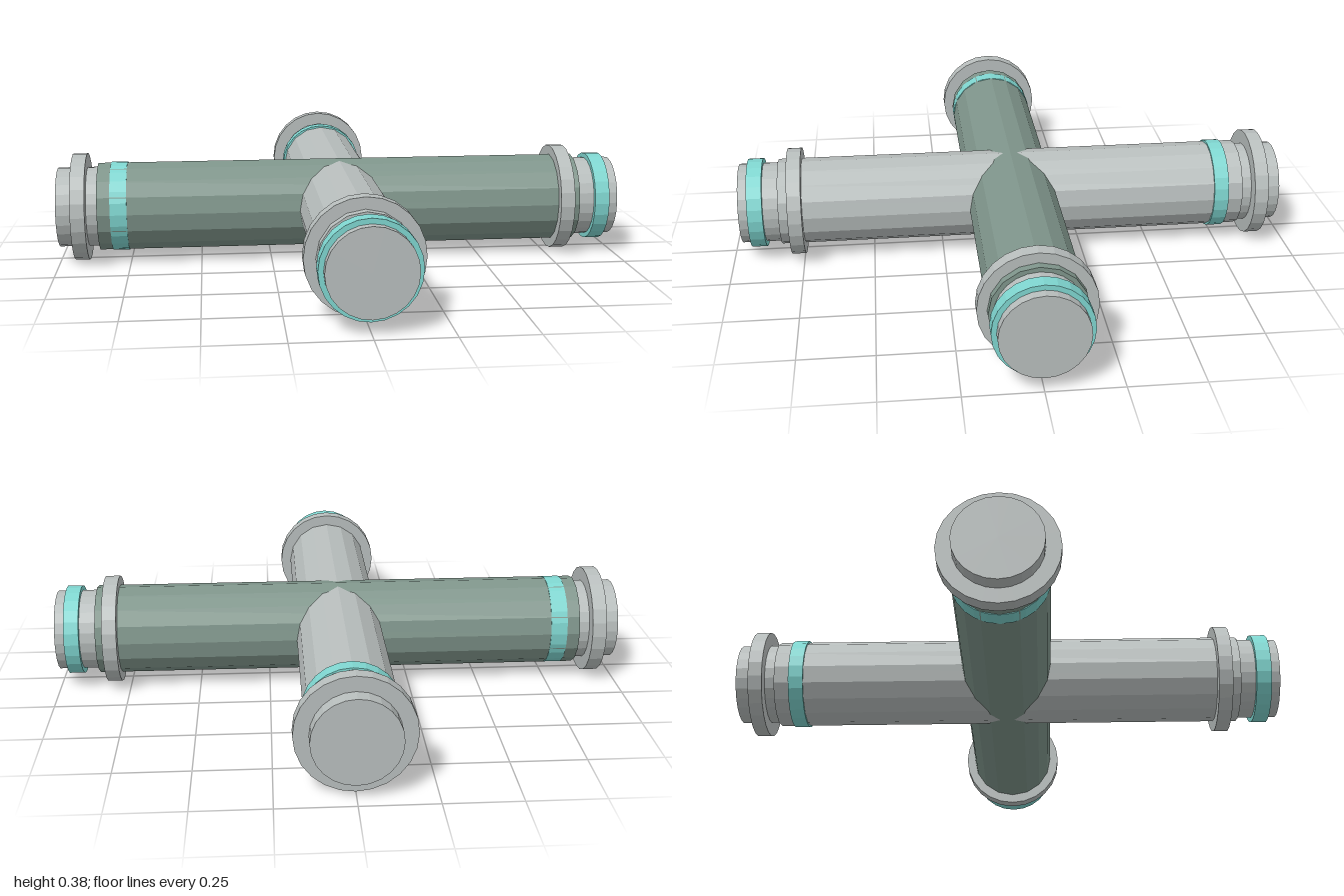
import * as THREE from 'three';

const mat = (name, color) => {
  const m = new THREE.MeshStandardMaterial({ color, flatShading: true });
  m.name = name;
  return m;
};

export function createModel() {
  const grey = mat('light grey metal', 0xb8bebd);
  const green = mat('grey green paint', 0x7f958b);
  const cyan = mat('cyan band', 0x7fd6d0);

  const model = new THREE.Group();
  model.name = 'crossPipe';

  // closed cylinder running along the arm from a to b
  const ring = (arm, name, a, b, radius, sides, material) => {
    const geo = new THREE.CylinderGeometry(radius, radius, b - a, sides);
    geo.rotateZ(-Math.PI / 2);
    geo.translate((a + b) / 2, 0, 0);
    const mesh = new THREE.Mesh(geo, material);
    mesh.name = name;
    arm.add(mesh);
  };

  // one straight pipe: body, thinner core showing at both ends, flanges and bands
  const pipe = (name, p) => {
    const arm = new THREE.Group();
    arm.name = name;
    ring(arm, 'pipeBody', -p.body, p.body, p.radius, 16, p.material);
    for (const s of [-1, 1]) {
      const [a, b] = [s * p.body, s * p.end].sort((u, v) => u - v);
      ring(arm, s < 0 ? 'startSpigot' : 'endSpigot', a, b, 0.141, 24, grey);
    }
    p.flanges.forEach(([a, b]) => ring(arm, 'flange', a, b, 0.19, 24, grey));
    p.bands.forEach(([a, b]) => ring(arm, 'colourBand', a, b, 0.158, 24, cyan));
    arm.position.y = 0.19;
    model.add(arm);
    return arm;
  };

  pipe('sidePipe', {
    body: 0.858, end: 1, radius: 0.157, material: green,
    flanges: [[-0.946, -0.896], [0.78, 0.83]],
    bands: [[-0.813, -0.755], [0.914, 0.966]],
  });

  // the local +x end of this pipe points to the front
  pipe('frontBackPipe', {
    body: 0.826, end: 0.964, radius: 0.152, material: grey,
    flanges: [[-0.91, -0.861], [0.743, 0.792]],
    bands: [[-0.774, -0.722], [0.879, 0.932]],
  }).rotation.y = -Math.PI / 2;

  return model;
}
